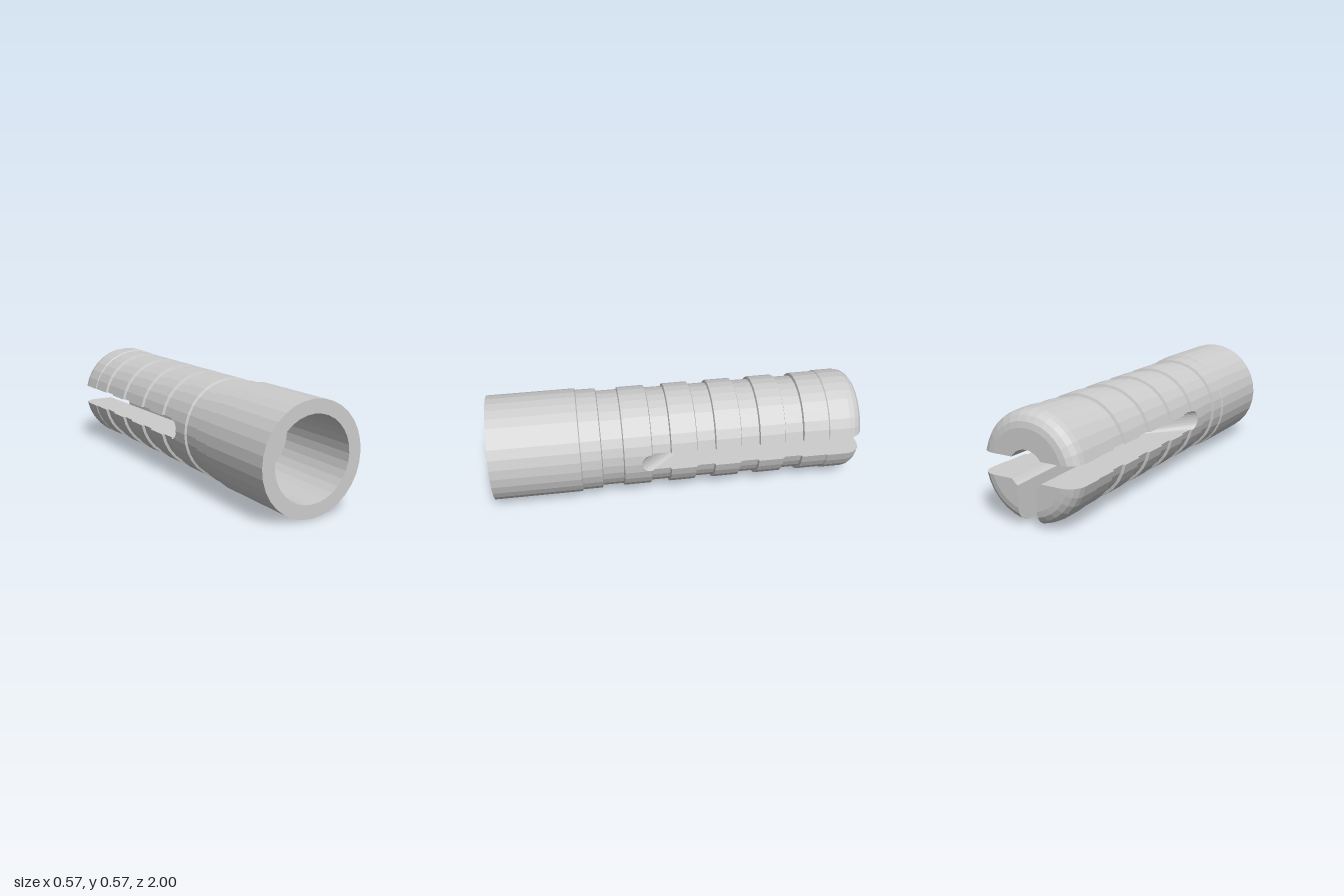
import * as THREE from 'three';

const STEP = Math.PI / 16;   // 32-sided body
const CENTRE_Y = 0.283;
const SLOT = 0.053;          // half width of each slot
const BORE = 0.214;          // radius of the front socket
const BORE_END = 0.52;       // floor of the front socket
const SLOT_OUT = 0.21;       // slot end on the outer skin
const SLOT_IN = -0.02;       // slot end at the hole, giving a slanted run-out
const RIB = 0.271;           // rib radius
const GROOVE = 0.257;        // groove radius

// Through hole, widening towards the back tip
const holeRadius = z => 0.064 + 0.022 * (BORE_END - z);

// Outer profile from the back tip to the rib at the slot end: [z, radius]
function backProfile() {
  const p = [];
  for (let i = 0; i <= 4; i++) {
    const t = (i / 4) * Math.PI / 2;
    p.push([-0.92 - 0.08 * Math.cos(t), 0.199 + 0.077 * Math.sin(t)]);
  }
  p.push([-0.81, 0.276], [-0.805, RIB], [-0.67, RIB]);
  // alternating grooves and ribs
  for (let i = 0; i < 4; i++) {
    const z = -0.665 + i * 0.24;
    p.push([z, GROOVE], [z + 0.095, GROOVE], [z + 0.1, RIB]);
    if (i < 3) p.push([z + 0.235, RIB]);
  }
  return p;
}

// Lengthwise stations: outer z and radius, slot half width, inner z and radius
function makeRows() {
  const rows = [];
  const add = (zo, ro, h, zi, ri = holeRadius(zi)) => rows.push({ zo, ro, h, zi, ri });
  const outEnd = SLOT_OUT - SLOT, inEnd = SLOT_IN - SLOT;
  for (const [z, r] of backProfile())
    add(z, r, SLOT, -1 + (z + 1) * (inEnd + 1) / (outEnd + 1));
  // rounded slot ends
  for (let i = 0; i <= 6; i++) {
    const t = (i / 6) * Math.PI / 2, dz = SLOT * Math.sin(t);
    add(outEnd + dz, RIB, i === 6 ? 0 : SLOT * Math.cos(t), inEnd + dz);
  }
  // solid neck, collar and sleeve
  add(0.3, RIB, 0, 0.1);
  add(0.305, 0.26, 0, 0.15);
  add(0.415, 0.26, 0, 0.3);
  add(0.42, 0.274, 0, 0.35);
  add(0.525, 0.274, 0, 0.45);
  add(0.53, 0.283, 0, BORE_END);
  add(0.53, 0.283, 0, BORE_END, BORE);
  add(1, 0.283, 0, 1, BORE);
  return rows;
}

// One jaw, lofted through closed sections between two slot angles
function jawGeometry(rows, from, to) {
  const n = Math.round((to - from) / STEP);
  const quarter = to - from < Math.PI - 0.1;
  const arc = (r, z, h) => {
    const gap = Math.asin(h / r);
    return Array.from({ length: n + 1 }, (_, k) => {
      const a = k === 0 ? from + gap : k === n ? to - gap
        : Math.min(Math.max(from + k * STEP, from + gap), to - gap);
      return new THREE.Vector3(r * Math.cos(a), r * Math.sin(a), z);
    });
  };
  // where two slots cross, a quarter jaw may end in a square corner
  const innerRadius = w => quarter ? Math.max(w.ri, w.h * Math.SQRT2) : w.ri;
  const rings = rows.map(w =>
    [...arc(w.ro, w.zo, w.h), ...arc(innerRadius(w), w.zi, w.h).reverse()]);

  const pos = [];
  const tri = (a, b, c) => {
    const area = b.clone().sub(a).cross(c.clone().sub(a)).length();
    if (area > 1e-8) for (const v of [a, b, c]) pos.push(v.x, v.y, v.z);
  };
  const quad = (a, b, c, d) => { tri(a, b, c); tri(a, c, d); };

  const count = 2 * n + 2;
  for (let i = 0; i < rings.length - 1; i++) {
    for (let k = 0; k < count; k++) {
      const wall = k === n || k === count - 1;
      if (wall && rows[i].h === 0) continue;   // jaws are joined here
      const m = (k + 1) % count;
      quad(rings[i][k], rings[i][m], rings[i + 1][m], rings[i + 1][k]);
    }
  }
  // back tip and front rim
  const back = rings[0], front = rings[rings.length - 1], last = count - 1;
  for (let k = 0; k < n; k++) {
    quad(back[k], back[last - k], back[last - k - 1], back[k + 1]);
    quad(front[k], front[k + 1], front[last - k - 1], front[last - k]);
  }
  const g = new THREE.BufferGeometry();
  g.setAttribute('position', new THREE.Float32BufferAttribute(pos, 3));
  g.computeVertexNormals();
  return g;
}

export function createModel() {
  const model = new THREE.Group();
  model.name = 'wallPlug';
  const grey = new THREE.MeshStandardMaterial({ color: 0xcccccc, flatShading: true });
  grey.name = 'grey plastic';
  const rows = makeRows();

  // wide upper jaw and two lower quarter jaws
  const jaws = [['upperJaw', 0, 1], ['lowerRightJaw', 1, 1.5], ['lowerLeftJaw', 1.5, 2]];
  for (const [name, from, to] of jaws) {
    const mesh = new THREE.Mesh(jawGeometry(rows, from * Math.PI, to * Math.PI), grey);
    mesh.name = name;
    mesh.position.y = CENTRE_Y;
    model.add(mesh);
  }
  return model;
}
